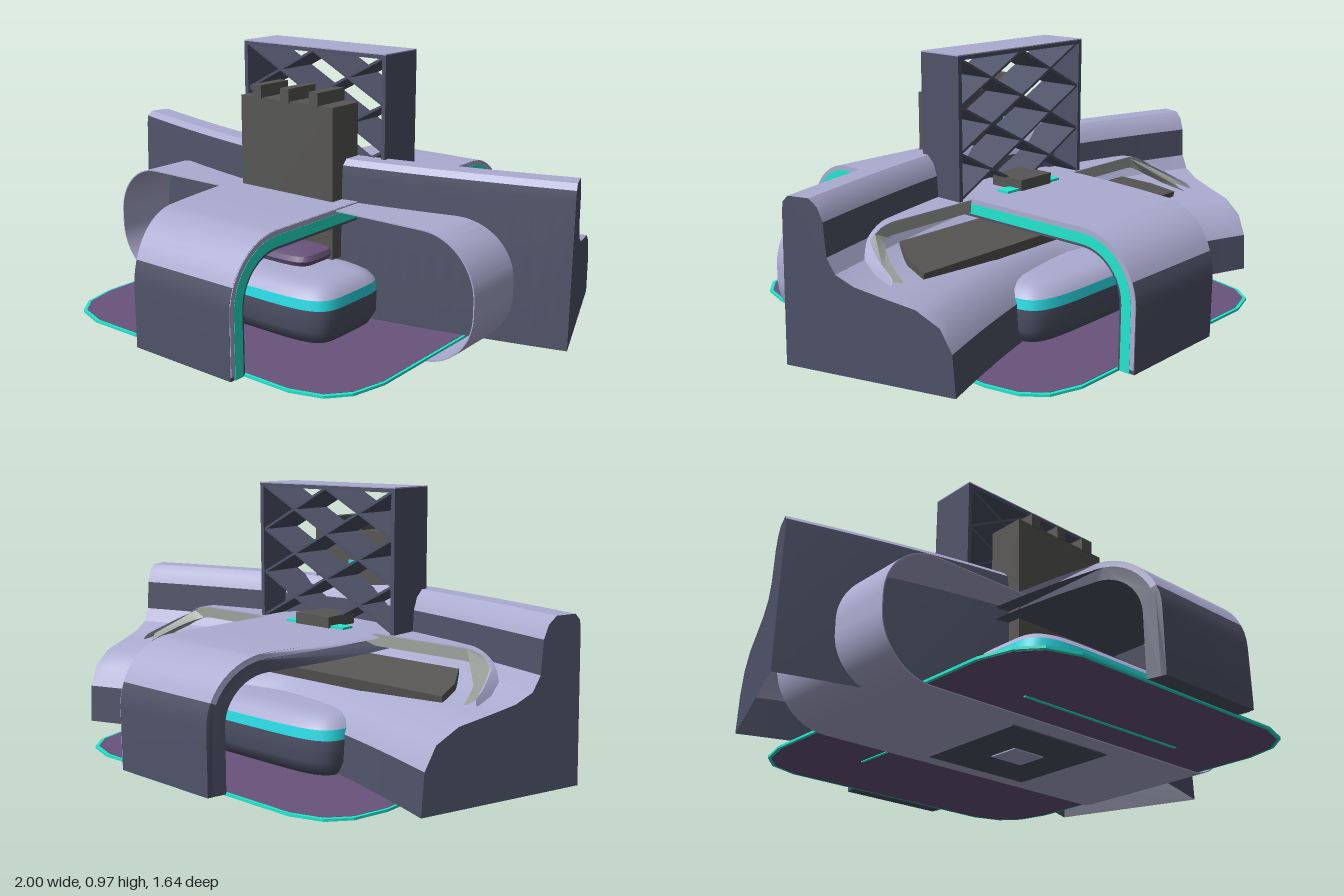
import * as THREE from 'three';
import { toCreasedNormals } from 'three/addons/utils/BufferGeometryUtils.js';

const material = (name, color) => new THREE.MeshStandardMaterial({ name, color, side: THREE.DoubleSide });
const lavender = material('lavender', 0xacacd1);
const slate = material('slate', 0x4f5368);
const purple = material('purple', 0x69547b);
const charcoal = material('charcoal', 0x575654);
const teal = material('teal', 0x22e8cf);
const cyan = material('cyan', 0x2ce6f0);
const sage = material('sage', 0x9ea39c);

const mesh = (parent, name, geo, mat) => {
  const m = new THREE.Mesh(geo, mat);
  m.name = name;
  parent.add(m);
  return m;
};

// Box given by its min and max on each axis
const box = (parent, name, mat, x0, x1, y0, y1, z0, z1) => {
  const m = mesh(parent, name, new THREE.BoxGeometry(x1 - x0, y1 - y0, z1 - z0), mat);
  m.position.set((x0 + x1) / 2, (y0 + y1) / 2, (z0 + z1) / 2);
  return m;
};

// Surface through rows of points
function grid(rows) {
  const n = rows[0].length, pos = rows.flat(2), index = [];
  for (let i = 0; i < rows.length - 1; i++) for (let j = 0; j < n - 1; j++) {
    const a = i * n + j, b = a + n;
    index.push(a, b, b + 1, a, b + 1, a + 1);
  }
  const g = new THREE.BufferGeometry();
  g.setAttribute('position', new THREE.Float32BufferAttribute(pos, 3));
  g.setIndex(index);
  return toCreasedNormals(g.toNonIndexed(), 0.6);
}

// Extrude a shape, move its vertices by a rule, keep sharp edges sharp
function extrude(shape, rule) {
  const g = new THREE.ExtrudeGeometry(shape, { depth: 1, bevelEnabled: false, curveSegments: 10 });
  const p = g.attributes.position, v = new THREE.Vector3();
  for (let i = 0; i < p.count; i++) {
    rule(v.fromBufferAttribute(p, i));
    p.setXYZ(i, v.x, v.y, v.z);
  }
  return toCreasedNormals(g, 0.6);
}

// Long arch from front to back; inset d moves its line inwards
function archLine(d, from, to) {
  const r = 0.22 - d, half = [];
  if (from < 0.24) half.push([0.818 - d, from]);
  for (let i = 0; i <= 12; i++) {
    const t = (i / 12) * Math.PI / 2, y = 0.24 + 0.22 * Math.sin(t);
    if (y >= from - 1e-3 && y <= to + 1e-3) half.push([0.598 + r * Math.cos(t), 0.24 + r * Math.sin(t)]);
  }
  if (to > 0.45) {
    for (let z = 0.45; z > 0.01; z -= 0.15) half.push([z, 0.46 - d]);
    half.push(...half.slice().reverse().map(([z, y]) => [-z, y]));
  }
  return half.map(([z, y]) => new THREE.Vector2(z, y));
}

function archLayer(d0, d1, x0, x1, from = 0.02, to = 1) {
  const shape = new THREE.Shape([...archLine(d0, from, to), ...archLine(d1, from, to).reverse()]);
  return extrude(shape, v => {
    const z = -v.x;
    const left = x0 ?? -0.27 + 0.11 * Math.min(1, (z / 0.81) ** 2);
    v.set(left + (x1 - left) * v.z, v.y, z);
  });
}

function addArch(root) {
  const g = new THREE.Group();
  g.name = 'longArch';
  const split = 0.24 + 0.22 * Math.sin(Math.PI / 8);
  mesh(g, 'archTop', archLayer(0, 0.02, undefined, 0.27, split), lavender);
  for (const s of [1, -1]) {
    const leg = mesh(g, 'archLeg', archLayer(0, 0.02, undefined, 0.27, 0.02, split), slate);
    leg.scale.z = s;
  }
  mesh(g, 'archLining', archLayer(0.02, 0.065, undefined, 0.27), slate);
  mesh(g, 'archEdge', archLayer(0.001, 0.018, 0.267, 0.273, 0.035), lavender);
  mesh(g, 'archLightStrip', archLayer(0.018, 0.055, 0.267, 0.274), teal);
  root.add(g);
}

// Stadium-shaped ring for the cross loop
function roundRect(d, Type) {
  const a = 0.82 - d, y0 = 0.01 + d, y1 = 0.455 - d, r = 0.2 - d, s = new Type();
  s.moveTo(a, y0 + r);
  s.lineTo(a, y1 - r);
  s.absarc(a - r, y1 - r, r, 0, Math.PI / 2);
  s.absarc(-a + r, y1 - r, r, Math.PI / 2, Math.PI);
  s.absarc(-a + r, y0 + r, r, Math.PI, Math.PI * 1.5);
  s.absarc(a - r, y0 + r, r, Math.PI * 1.5, Math.PI * 2);
  return s;
}

// The back rim slants away from the height 'top' downwards
function loopRing(d0, d1, front, top) {
  const s = roundRect(d0, THREE.Shape);
  s.holes.push(roundRect(d1, THREE.Path));
  return extrude(s, v => {
    const back = -0.1 - 0.19 * THREE.MathUtils.clamp((top - v.y) / 0.08, 0, 1);
    v.z = back + (front - back) * v.z;
  });
}

// Curved desk: one profile (depth, height) carried along a bowed front line
const profile = [[0, 0.042], [0.012, 0.55], [0.016, 0.58], [0.035, 0.6], [0.11, 0.6], [0.14, 0.575], [0.158, 0.53],
  [0.166, 0.42], [0.195, 0.37], [0.26, 0.34], [0.36, 0.32], [0.47, 0.3], [0.55, 0.255], [0.59, 0.18], [0.6, 0.042]];

function deskPoint(x, [u, y]) {
  return [x - 0.33 * x * u, y, 0.215 - 0.215 * Math.abs(x) ** 1.4 - 0.94 * u];
}

function addDesk(root) {
  const g = new THREE.Group();
  g.name = 'desk';
  const strip = (name, j0, j1, mat) => {
    const rows = [];
    for (let i = 0; i <= 32; i++) rows.push(profile.slice(j0, j1 + 1).map(p => deskPoint(i / 16 - 1, p)));
    mesh(g, name, grid(rows), mat);
  };
  strip('deskFront', 0, 2, slate);
  strip('deskRim', 2, 6, lavender);
  strip('deskInnerWall', 6, 7, slate);
  strip('deskTop', 7, 13, lavender);
  strip('deskBack', 13, 14, slate);
  // End faces
  const flat = profile.map(p => new THREE.Vector2(...p));
  const faces = THREE.ShapeUtils.triangulateShape(flat, []);
  for (const x of [-1, 1]) {
    const geo = new THREE.BufferGeometry();
    const pos = faces.flatMap(f => f.flatMap(k => deskPoint(x, profile[k])));
    geo.setAttribute('position', new THREE.Float32BufferAttribute(pos, 3));
    geo.computeVertexNormals();
    mesh(g, 'deskEnd', geo, slate);
  }
  // Control panel sloping up towards the wall
  const s = new THREE.Shape([[-0.68, 0], [0.68, 0], [0.66, 0.1], [0.6, 0.21], [-0.6, 0.21], [-0.66, 0.1]]
    .map(p => new THREE.Vector2(...p)));
  const panel = mesh(g, 'controlPanel',
    new THREE.ExtrudeGeometry(s, { depth: 0.04, bevelEnabled: false }).rotateX(Math.PI / 2), charcoal);
  panel.position.set(0, 0.337, -0.3);
  panel.rotation.x = -0.2;
  root.add(g);
}

// Soft rounded block from rings of [height, inset]
function cushion(a, b, rings) {
  const rows = [];
  for (let i = 0; i <= 64; i++) {
    const t = (i / 64) * Math.PI * 2, q = v => Math.sign(v) * Math.abs(v) ** 0.4;
    rows.push(rings.map(([y, d]) => [q(Math.sin(t)) * (a - d), y, q(Math.cos(t)) * (b - d)]));
  }
  return grid(rows);
}

function addSeat(root, z) {
  const g = new THREE.Group();
  g.name = 'seat';
  mesh(g, 'seatBase', cushion(0.38, 0.19, [[0.03, 0.19], [0.03, 0.05], [0.05, 0.02], [0.09, 0], [0.165, 0]]), slate);
  mesh(g, 'seatStripe', cushion(0.38, 0.19, [[0.165, 0], [0.2, 0.004]]), cyan);
  mesh(g, 'seatTop', cushion(0.38, 0.19, [[0.2, 0.004], [0.222, 0.02], [0.238, 0.05], [0.245, 0.09], [0.245, 0.19]]), lavender);
  g.position.z = z;
  root.add(g);
}

function addMat(root) {
  const q = [[0.65, 0.53], [0.62, 0.65], [0.56, 0.72], [0.45, 0.755]], r = q.slice().reverse();
  const outline = [...q, ...r.map(([x, z]) => [-x, z]), ...q.map(([x, z]) => [-x, -z]), ...r.map(([x, z]) => [x, -z])];
  const plate = (name, k, y, h, mat) => {
    const s = new THREE.Shape(outline.map(([x, z]) => new THREE.Vector2(x * k, z * k)));
    const geo = new THREE.ExtrudeGeometry(s, { depth: h, bevelEnabled: false }).rotateX(-Math.PI / 2);
    mesh(root, name, geo, mat).position.y = y;
  };
  plate('matRim', 1, 0.0155, 0.0085, teal);
  plate('mat', 0.986, 0.0145, 0.0105, purple);
}

// Open frame with crossed plates running through its depth
function addFrame(root) {
  const g = new THREE.Group();
  g.name = 'latticeFrame';
  box(g, 'frameBeam', slate, -0.325, 0.325, 0.948, 0.962, -0.095, 0.09);
  box(g, 'frameTop', lavender, -0.325, 0.325, 0.962, 0.966, -0.095, 0.09);
  for (const s of [-1, 1]) box(g, 'frameSide', slate, s * 0.317 - 0.008, s * 0.317 + 0.008, 0.45, 0.952, -0.095, 0.09);
  const strut = (x0, y0, x1, y1) => {
    const m = mesh(g, 'strut', new THREE.BoxGeometry(Math.hypot(x1 - x0, y1 - y0), 0.009, 0.17), slate);
    m.position.set((x0 + x1) / 2, (y0 + y1) / 2, -0.003);
    m.rotation.z = Math.atan2(y1 - y0, x1 - x0);
  };
  for (const x of [-0.31, 0]) for (let k = 0; k < 3; k++) {
    const y = 0.46 + k * 0.164;
    strut(x, y, x + 0.31, y + 0.164);
    strut(x, y + 0.164, x + 0.31, y);
  }
  root.add(g);
}

export function createModel() {
  const root = new THREE.Group();
  root.name = 'workstation';
  addMat(root);
  addArch(root);
  mesh(root, 'crossLoop', loopRing(0, 0.004, 0.295, 0.42), lavender);
  mesh(root, 'crossLoopLining', loopRing(0.004, 0.045, -0.06, 0.405), sage);
  addDesk(root);
  addSeat(root, 0.32);
  addSeat(root, -0.32);
  mesh(root, 'pillow', cushion(0.21, 0.1, [[0.25, 0.1], [0.25, 0.03], [0.258, 0.008], [0.275, 0], [0.292, 0.008],
    [0.3, 0.03], [0.3, 0.1]]), purple).position.z = 0.295;
  addFrame(root);
  // Column with ridges and back lights
  box(root, 'column', charcoal, -0.21, 0.21, 0.25, 0.79, 0.092, 0.235);
  for (const x of [-0.13, 0, 0.13]) {
    box(root, 'columnRidge', charcoal, x - 0.02, x + 0.02, 0.785, 0.835, 0.092, 0.24);
    box(root, 'columnLight', cyan, x - 0.04, x + 0.04, 0.66, 0.675, 0.087, 0.093);
  }
  // Console on the arch
  box(root, 'console', charcoal, -0.08, 0.08, 0.455, 0.5, -0.16, -0.02);
  for (const s of [-1, 1]) box(root, 'consoleKey', teal, s * 0.11 - 0.03, s * 0.11 + 0.03, 0.46, 0.468, -0.15, -0.1);
  // Underside
  box(root, 'basePanel', slate, -0.225, 0.225, 0.004, 0.0095, -0.22, 0.22);
  box(root, 'foot', lavender, -0.07, 0.07, 0, 0.012, -0.06, 0.06);
  box(root, 'undersideLine', teal, -0.36, 0.36, 0.011, 0.0148, 0.416, 0.426);
  box(root, 'undersideLine', teal, -0.355, -0.345, 0.011, 0.0148, -0.45, -0.3);
  return root;
}
